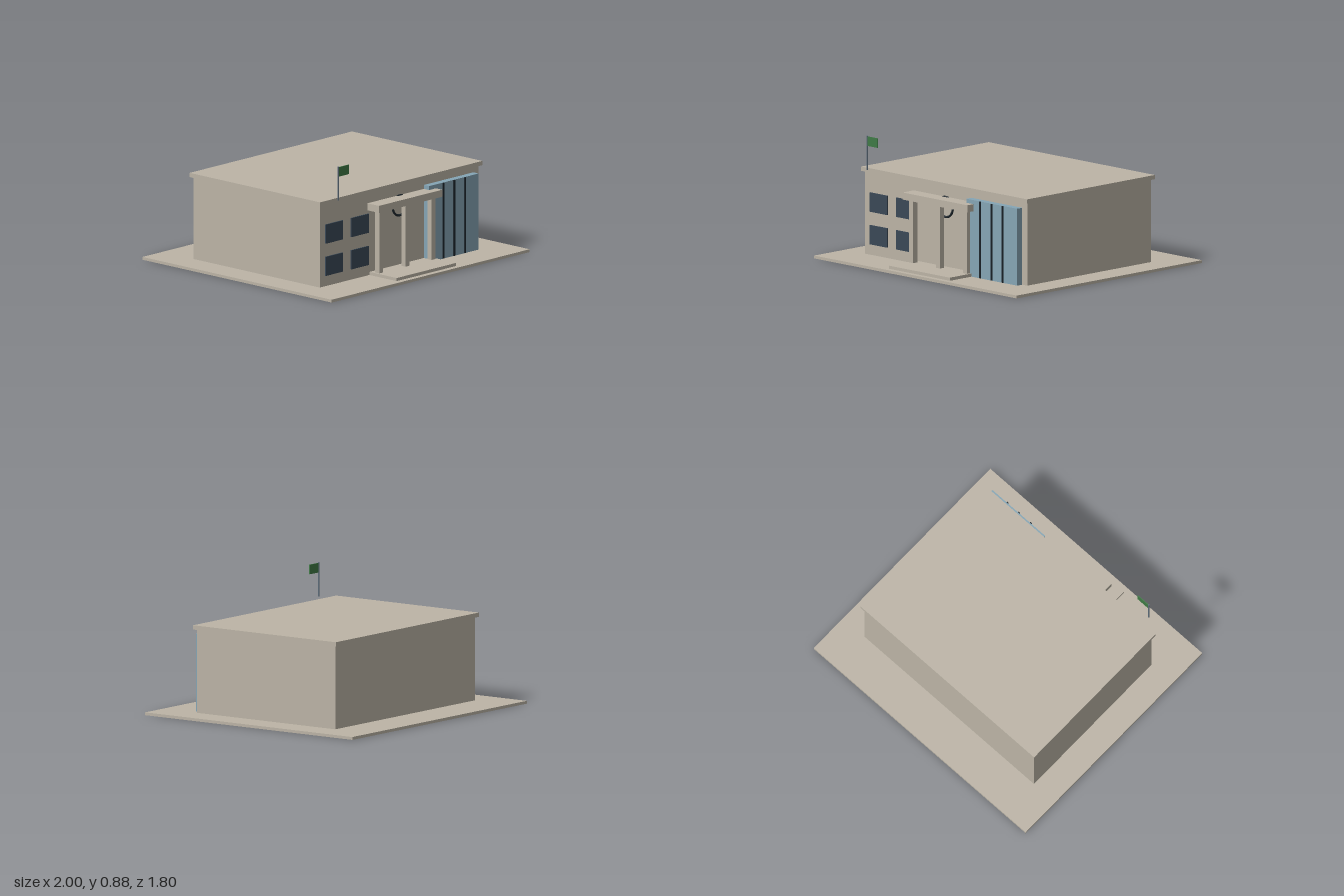
import * as THREE from 'three';

const material = (name, color) => {
  const m = new THREE.MeshStandardMaterial({ color });
  m.name = name;
  return m;
};

export function createModel() {
  const stone = material('stone', 0xbcb4a6);
  const glass = material('glass', 0x85a5b5);
  const windowGlass = material('window glass', 0x3a4856);
  const dark = material('dark frame', 0x1e272d);
  const metal = material('pole metal', 0x5e6e7c);
  const green = material('flag green', 0x3f7a45);

  const model = new THREE.Group();
  model.name = 'building';

  const add = (name, geometry, mat, x, y, z) => {
    const mesh = new THREE.Mesh(geometry, mat);
    mesh.name = name;
    mesh.position.set(x, y, z);
    model.add(mesh);
    return mesh;
  };
  // Box given by its lower and upper limits on each axis
  const box = (name, mat, [x0, x1], [y0, y1], [z0, z1]) =>
    add(name, new THREE.BoxGeometry(x1 - x0, y1 - y0, z1 - z0), mat,
      (x0 + x1) / 2, (y0 + y1) / 2, (z0 + z1) / 2);

  // Ground slab, main block and roof
  box('groundSlab', stone, [-1, 1], [0, 0.02], [-0.9, 0.9]);
  box('mainBlock', stone, [-0.8, 0.8], [0.02, 0.605], [-0.6, 0.6]);
  box('roof', stone, [-0.82, 0.82], [0.605, 0.635], [-0.62, 0.62]);

  // Entrance step, canopy and square columns
  box('entranceStep', stone, [-0.3, 0.3], [0.02, 0.042], [0.6, 0.86]);
  box('canopy', stone, [-0.32, 0.32], [0.485, 0.535], [0.6, 0.71]);
  for (const x of [-0.265, 0, 0.265])
    box('column', stone, [x - 0.02, x + 0.02], [0.042, 0.485], [0.64, 0.68]);

  // Wall ring behind the canopy
  add('wallRing', new THREE.TorusGeometry(0.071, 0.008, 10, 32), dark, 0, 0.464, 0.606);

  // Projecting glazed bay with mullions
  box('glassBay', glass, [0.25, 0.75], [0.02, 0.563], [0.6, 0.65]);
  for (const x of [0.39, 0.5, 0.61])
    box('mullion', dark, [x - 0.006, x + 0.006], [0.022, 0.562], [0.65, 0.658]);

  // Two rows of windows
  for (const x of [-0.662, -0.402])
    for (const y of [0.163, 0.393])
      box('window', windowGlass, [x - 0.087, x + 0.087], [y - 0.068, y + 0.068], [0.6, 0.609]);

  // Flagpole and flag
  add('flagpole', new THREE.CylinderGeometry(0.006, 0.006, 0.24, 12), metal, -0.7, 0.758, 0.68);
  box('flag', green, [-0.694, -0.594], [0.807, 0.874], [0.677, 0.683]);

  return model;
}
